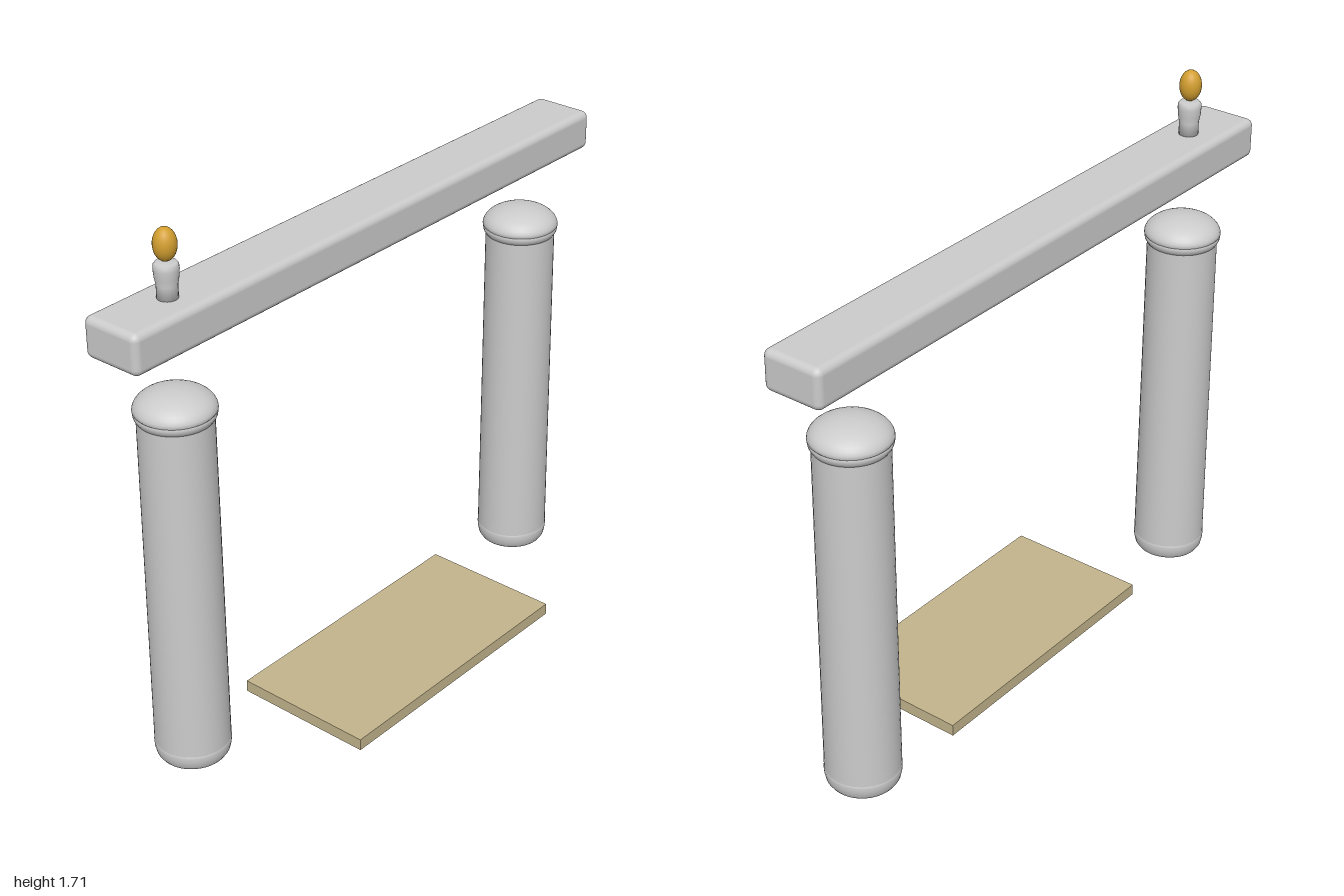
import * as THREE from 'three';
import { RoundedBoxGeometry } from 'three/addons/geometries/RoundedBoxGeometry.js';

const stone = new THREE.MeshStandardMaterial({ color: 0xcccccc });
const slab = new THREE.MeshStandardMaterial({ color: 0xc2b48c });
const gold = new THREE.MeshStandardMaterial({ color: 0xd39f30 });

function add(parent, name, geometry, material, x = 0, y = 0, z = 0) {
  const mesh = new THREE.Mesh(geometry, material);
  mesh.name = name;
  mesh.position.set(x, y, z);
  parent.add(mesh);
  return mesh;
}

// Round part turned from [radius, height] pairs, bottom to top
function turned(points, segments = 40) {
  return new THREE.LatheGeometry(points.map(([r, y]) => new THREE.Vector2(r, y)), segments);
}

// Pillar with rounded foot, tapering shaft and domed cap
function pillar(name, x) {
  const group = new THREE.Group();
  group.name = name;
  group.position.set(x, 0, -0.13);
  add(group, 'pillarFoot', turned([
    [0, 0.005], [0.09, 0.005], [0.102, 0.01], [0.11, 0.022], [0.114, 0.04], [0.115, 0.055], [0.113, 0.068], [0.1, 0.072],
  ]), stone);
  add(group, 'pillarShaft', turned([[0.114, 0.055], [0.112, 0.45], [0.109, 1.15]]), stone);
  add(group, 'capCollar', turned([
    [0, 1.136], [0.1, 1.136], [0.11, 1.142], [0.116, 1.152], [0.118, 1.162], [0.115, 1.17], [0.1, 1.173],
  ]), stone);
  const dome = [[0.1, 1.163], [0.114, 1.164]];
  for (let i = 0; i <= 10; i++) {
    const a = (i / 10) * Math.PI / 2;
    dome.push([Math.max(0, 0.119 * Math.cos(a)), 1.17 + 0.06 * Math.sin(a)]);
  }
  add(group, 'capDome', turned(dome), stone);
  return group;
}

export function createModel() {
  const model = new THREE.Group();
  model.name = 'mantel';

  // Pillars either side
  model.add(pillar('leftPillar', 0.775), pillar('rightPillar', -0.78));

  // Mantel beam with softened edges
  add(model, 'mantelBeam', new RoundedBoxGeometry(2, 0.125, 0.196, 4, 0.022), stone, 0, 1.4425, -0.135);

  // Hearth slab on the ground
  add(model, 'hearthSlab', new THREE.BoxGeometry(0.925, 0.038, 0.46), slab, 0, 0.019, 0.02);

  // Candle and flame standing on the beam
  const candle = new THREE.Group();
  candle.name = 'candle';
  candle.position.set(-0.78, 1.5, -0.135);
  add(candle, 'candleStick', turned([
    [0, 0], [0.03, 0], [0.03, 0.045], [0.034, 0.065], [0.036, 0.09], [0.035, 0.103], [0.03, 0.109], [0, 0.11],
  ], 24), stone);
  add(candle, 'flame', new THREE.SphereGeometry(1, 24, 16), gold, 0, 0.161, 0).scale.set(0.034, 0.049, 0.034);
  model.add(candle);

  return model;
}
